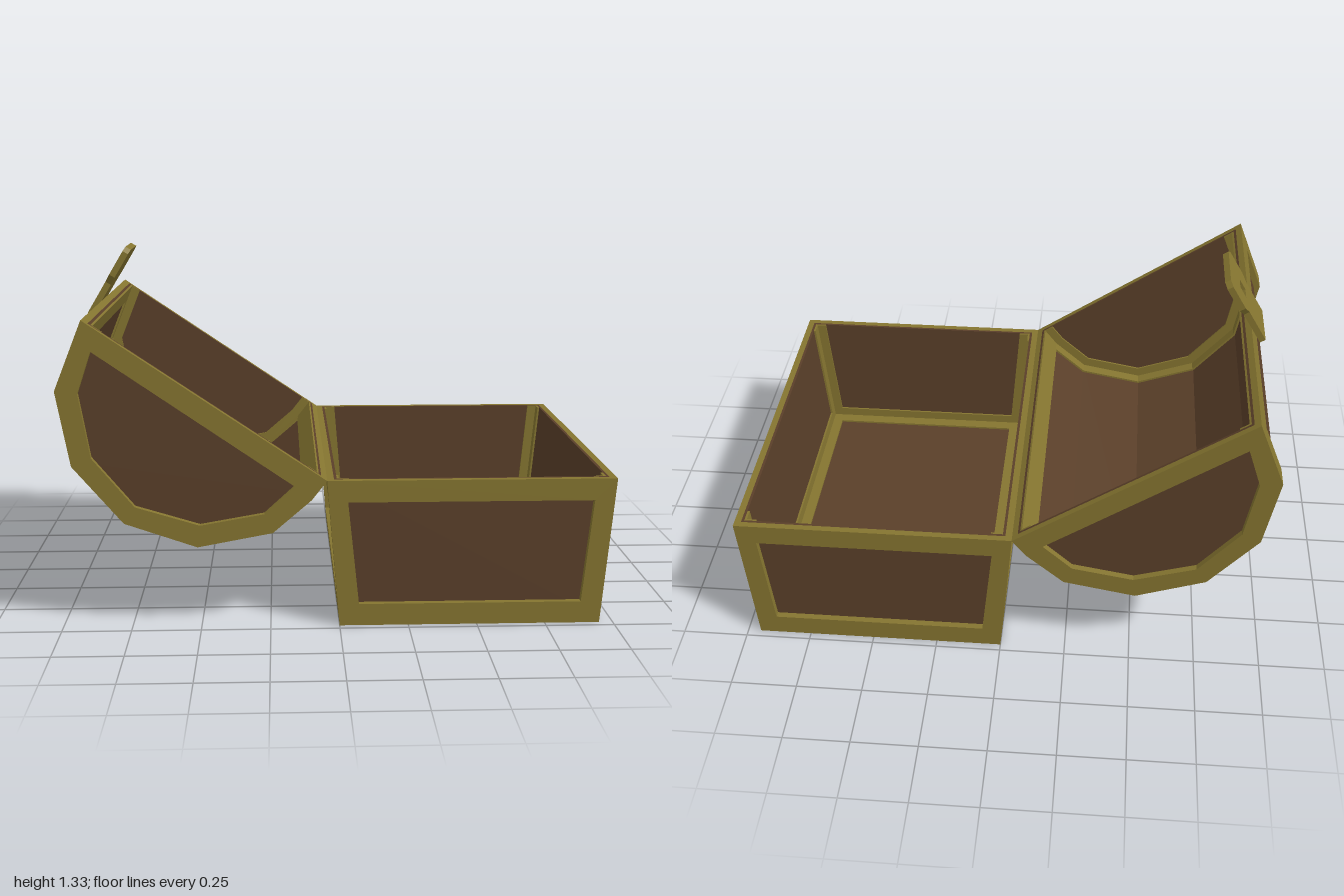
import * as THREE from 'three';

const gold = new THREE.MeshStandardMaterial({ color: 0x857530, flatShading: true });
const wood = new THREE.MeshStandardMaterial({ color: 0x5a3f29, flatShading: true });

const END = 0.72;          // half length of the chest
const RAIL = 0.08;         // width of the metal edging
const OUT = 0.025;         // thickness of the outer edging
const PLANK = 0.035;       // depth of the plank's inner face
const IN = 0.043;          // depth of the inner edging

const vecs = (list) => list.map(([x, y]) => new THREE.Vector2(x, y));
const along = (a, b, d) => a.clone().add(b.clone().sub(a).setLength(d));
const leftNormal = (a, b) => new THREE.Vector2(a.y - b.y, b.x - a.x).normalize();

function extrude(name, points, z0, z1, material, hole) {
  const shape = new THREE.Shape(points);
  if (hole) shape.holes.push(new THREE.Path(hole));
  const geometry = new THREE.ExtrudeGeometry(shape, { depth: z1 - z0, bevelEnabled: false });
  geometry.translate(0, 0, z0);
  const mesh = new THREE.Mesh(geometry, material);
  mesh.name = name;
  return mesh;
}

// Shift a path inwards; ends lying on the rim stay on the rim line
function inset(pts, d, profile) {
  const first = profile[0], last = profile[profile.length - 1];
  return pts.map((p, i) => {
    const n1 = i > 0 ? leftNormal(pts[i - 1], p) : null;
    const n2 = i < pts.length - 1 ? leftNormal(p, pts[i + 1]) : null;
    let dir, n = n1 || n2;
    if (n1 && n2) dir = n1.clone().add(n2).normalize();
    else if (p === first) dir = last.clone().sub(first).normalize();
    else if (p === last) dir = first.clone().sub(last).normalize();
    else dir = n.clone();
    return p.clone().addScaledVector(dir, d / dir.dot(n));
  });
}

// A shell half: planked walls with edging, following an open profile
function buildHalf(name, profile, hole, rails) {
  const group = new THREE.Group();
  group.name = name;
  const strip = (label, pts, d0, d1, z0, z1, material) => {
    const outline = [...inset(pts, d0, profile), ...inset(pts, d1, profile).reverse()];
    group.add(extrude(label, outline, z0, z1, material));
  };
  const inner = END - 0.09;

  // Long walls
  strip('wallPlanks', profile, OUT, PLANK, -0.69, 0.69, wood);

  // Lengthwise edging, outside and (where wanted) inside
  for (const { pts, inside } of rails) {
    strip('outerRail', pts, 0, OUT, -inner, inner, gold);
    if (inside) strip('innerRail', pts, PLANK, IN, -inner, inner, gold);
  }

  for (const s of [-1, 1]) {
    const span = (a, b) => (s > 0 ? [a, b] : [-b, -a]);
    // Bands around the profile at each end
    strip('outerBand', profile, 0, OUT, ...span(inner, 0.695), gold);
    strip('innerBand', profile, PLANK, IN, ...span(inner, 0.685), gold);
    // End wall: framed panel
    group.add(extrude('endFrame', profile, ...span(0.695, END), gold, hole));
    group.add(extrude('endPanel', inset(profile, OUT, profile), ...span(0.685, 0.695), wood));
    strip('endInnerFrame', profile, PLANK, RAIL, ...span(0.677, 0.685), gold);
  }
  return group;
}

function buildBase() {
  const p = vecs([[-0.045, 0.54], [0, 0], [0.95, 0], [1, 0.54]]);
  const hole = vecs([[0.03, 0.46], [0.07, 0.08], [0.88, 0.08], [0.92, 0.46]]);
  return buildHalf('base', p, hole, [
    { pts: [p[0], along(p[0], p[1], RAIL)], inside: false },
    { pts: [along(p[1], p[0], RAIL), p[1], along(p[1], p[2], RAIL)], inside: true },
    { pts: [along(p[2], p[1], RAIL), p[2], along(p[2], p[3], RAIL)], inside: true },
    { pts: [along(p[3], p[2], RAIL), p[3]], inside: false },
  ]);
}

function buildLid() {
  const p = vecs([[-0.9, 1.12], [-1, 0.87], [-0.95, 0.6], [-0.77, 0.39],
    [-0.51, 0.3], [-0.24, 0.35], [-0.1, 0.47], [-0.045, 0.54]]);
  const hole = vecs([[-0.87, 1.01], [-0.92, 0.86], [-0.88, 0.63], [-0.73, 0.45],
    [-0.5, 0.38], [-0.27, 0.42], [-0.16, 0.52]]);
  return buildHalf('lid', p, hole, [
    { pts: [p[0], along(p[0], p[1], RAIL)], inside: true },
    { pts: [p[6], p[7]], inside: true },
  ]);
}

// Hasp plate: drawn upright, with a shallow slot in its outer face
function buildLatch() {
  const latch = new THREE.Group();
  latch.name = 'latch';
  const half = [[0.105, 0], [0.105, 0.14], [0.13, 0.175], [0.13, 0.28], [0.105, 0.298]];
  const outline = vecs([...half, ...half.map(([x, y]) => [-x, y]).reverse()]);
  const slot = vecs([[-0.03, 0.16], [0.03, 0.16], [0.03, 0.21], [-0.03, 0.21]]);
  latch.add(extrude('latchBack', outline, -0.012, 0, gold));
  latch.add(extrude('latchFace', outline, 0, 0.012, gold, slot));
  // Plate's width runs along z, its length up and over the open lid
  const up = new THREE.Vector3(0.513, 0.858, 0).normalize();
  const side = new THREE.Vector3(0, 0, 1);
  const out = new THREE.Vector3().crossVectors(side, up);
  latch.quaternion.setFromRotationMatrix(new THREE.Matrix4().makeBasis(side, up, out));
  latch.position.set(-0.947, 1.066, 0);
  return latch;
}

export function createModel() {
  const model = new THREE.Group();
  model.name = 'chest';
  model.add(buildBase(), buildLid(), buildLatch());
  return model;
}
